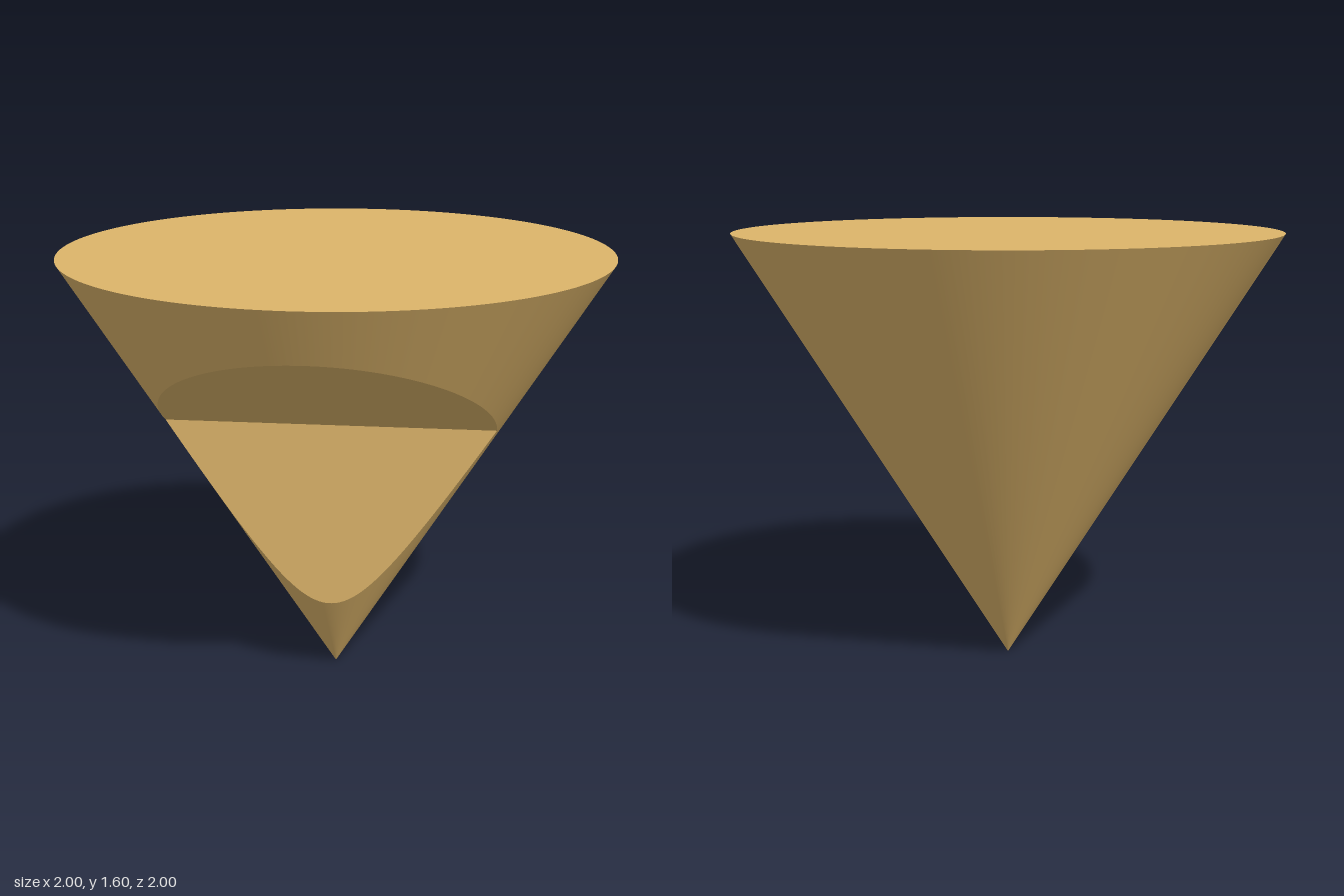
import * as THREE from 'three';

const H = 1.6;            // height; the rim radius is 1 and the tip sits at the origin
const BACK = 0.2;         // z of the notch's upright face
const CORNER_Y = 1.01;    // height of the notch's inner corner
const SLOPE = Math.tan(Math.PI / 6); // rise of the notch's ceiling

// Point on the wall: angle a from the front, t runs 0 (tip) to 1 (rim)
const wallPoint = (a, t) => new THREE.Vector3(t * Math.sin(a), t * H, t * Math.cos(a));

// Where a wall line meets the notch's upright face and its ceiling
const notchLow = (a) => BACK / Math.cos(a);
const notchHigh = (a) => (CORNER_Y - SLOPE * BACK) / (H - SLOPE * Math.cos(a));

// Evenly spaced angles, both ends included
const angles = (from, to, n) => Array.from({ length: n + 1 }, (_, i) => from + ((to - from) * i) / n);

// Smooth strip of cone wall between two limits along each wall line
function wallStrip(list, low, high) {
  const pos = [], nor = [], idx = [];
  list.forEach((a, i) => {
    const n = new THREE.Vector3(H * Math.sin(a), -1, H * Math.cos(a)).normalize();
    for (const t of [low(a), high(a)]) {
      pos.push(...wallPoint(a, t).toArray());
      nor.push(...n.toArray());
    }
    if (i) {
      const p = 2 * (i - 1), q = 2 * i;
      idx.push(p, q, q + 1, p, q + 1, p + 1);
    }
  });
  const g = new THREE.BufferGeometry();
  g.setAttribute('position', new THREE.Float32BufferAttribute(pos, 3));
  g.setAttribute('normal', new THREE.Float32BufferAttribute(nor, 3));
  g.setIndex(idx);
  return g;
}

// Flat convex face from its outline, counter-clockwise seen from outside
function flatFace(points) {
  const g = new THREE.BufferGeometry().setFromPoints(points);
  const idx = [];
  for (let i = 1; i < points.length - 1; i++) idx.push(0, i, i + 1);
  g.setIndex(idx);
  g.computeVertexNormals();
  return g;
}

export function createModel() {
  const group = new THREE.Group();
  group.name = 'notchedCone';
  const material = new THREE.MeshStandardMaterial({ color: 0xdcb46a });
  const add = (name, geometry) => {
    const mesh = new THREE.Mesh(geometry, material);
    mesh.name = name;
    group.add(mesh);
  };

  // The notch spans the angles between its two side corners
  const half = Math.acos((BACK * H) / CORNER_Y);
  const front = angles(-half, half, 80);
  const rest = angles(half, 2 * Math.PI - half, 100);
  const tip = () => 0, rim = () => 1;

  // Cone wall: whole round the back, split by the notch in front
  add('backWall', wallStrip(rest, tip, rim));
  add('lowerFrontWall', wallStrip(front, tip, notchLow));
  add('upperFrontWall', wallStrip(front, notchHigh, rim));

  // Flat top
  const rimAngles = [...front, ...rest.slice(1, -1)];
  add('top', flatFace(rimAngles.map((a) => wallPoint(a, 1))));

  // Notch faces: upright back and sloping ceiling
  add('notchBack', flatFace(front.map((a) => wallPoint(a, notchLow(a)))));
  add('notchCeiling', flatFace(front.map((a) => wallPoint(a, notchHigh(a))).reverse()));

  return group;
}
